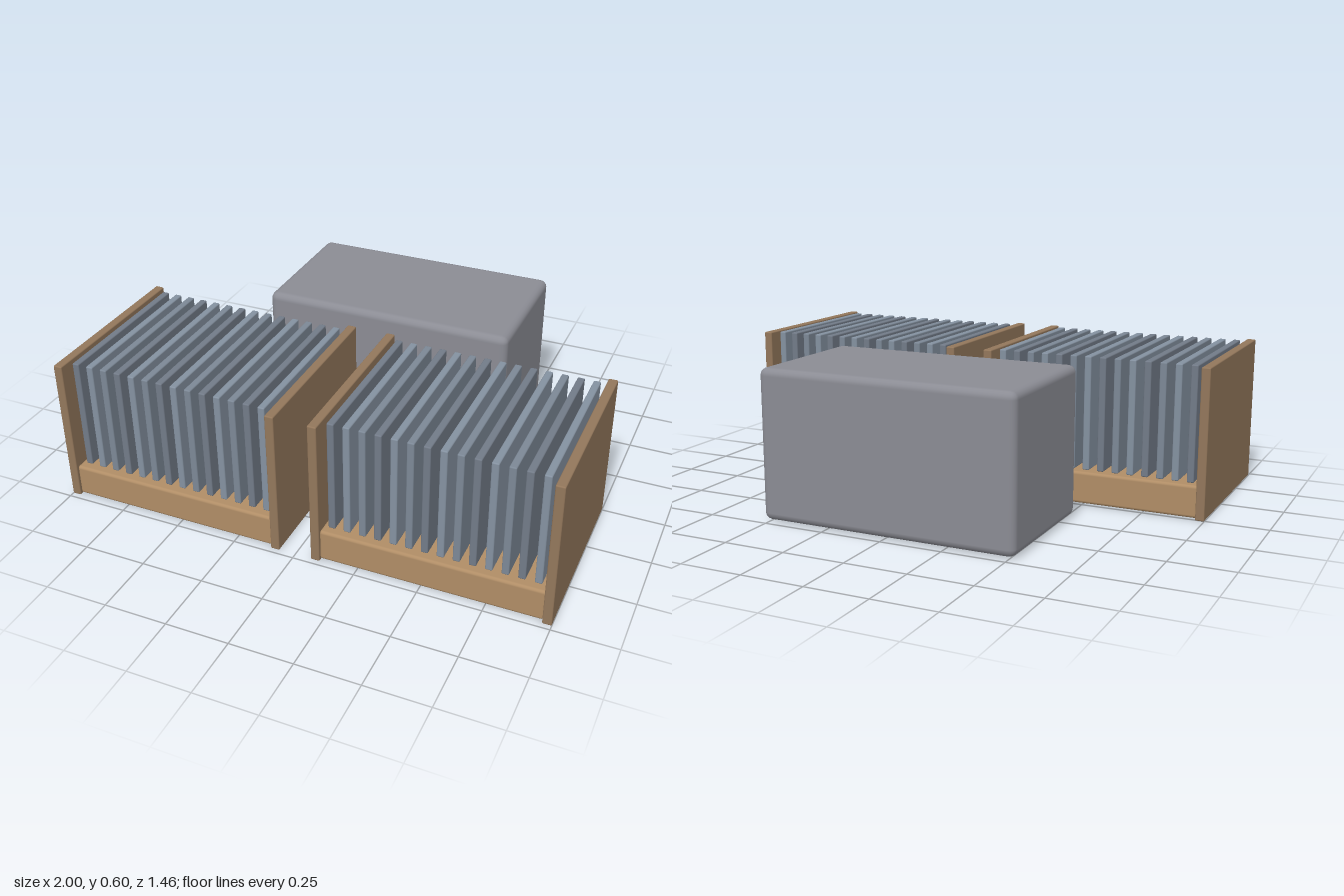
import * as THREE from 'three';
import { RoundedBoxGeometry } from 'three/addons/geometries/RoundedBoxGeometry.js';

const material = (color) => new THREE.MeshStandardMaterial({ color });

// Soft-edged box given by its minimum and maximum corners
function softBox(name, min, max, radius, segments, mat) {
  const size = max.map((v, i) => v - min[i]);
  const mesh = new THREE.Mesh(new RoundedBoxGeometry(...size, segments, radius), mat);
  mesh.position.set(...max.map((v, i) => (v + min[i]) / 2));
  mesh.name = name;
  return mesh;
}

export function createModel() {
  const model = new THREE.Group();
  model.name = 'slottedRacks';

  const baseWood = material(0xb08d66);
  const panelWood = material(0x93775b);
  const slatMats = [0x727b88, 0x8491a0, 0x7c8896].map(material);

  // Rack: wooden base, two end panels and a row of upright slats
  function createRack(name, centerX) {
    const rack = new THREE.Group();
    rack.name = name;
    rack.position.x = centerX;
    rack.add(softBox('base', [-0.435, 0.005, 0], [0.435, 0.135, 0.72], 0.012, 2, baseWood));

    for (const side of [-1, 1]) {
      const x = side * 0.449;
      rack.add(softBox(side < 0 ? 'rightEndPanel' : 'leftEndPanel',
        [x - 0.018, 0, -0.008], [x + 0.018, 0.598, 0.73], 0.005, 2, panelWood));
    }

    const count = 14, pitch = 0.061;
    for (let i = 0; i < count; i++) {
      const x = (i - (count - 1) / 2) * pitch;
      rack.add(softBox('slat' + (i + 1),
        [x - 0.014, 0.137, 0.028], [x + 0.014, 0.598, 0.688], 0.005, 2, slatMats[i % 3]));
    }
    return rack;
  }

  model.add(createRack('rightRack', -0.533), createRack('leftRack', 0.533));

  // Solid block behind the racks
  model.add(softBox('rearBlock', [-0.525, 0.005, -0.73], [0.525, 0.597, -0.14], 0.03, 2, material(0x8b8c94)));
  return model;
}
